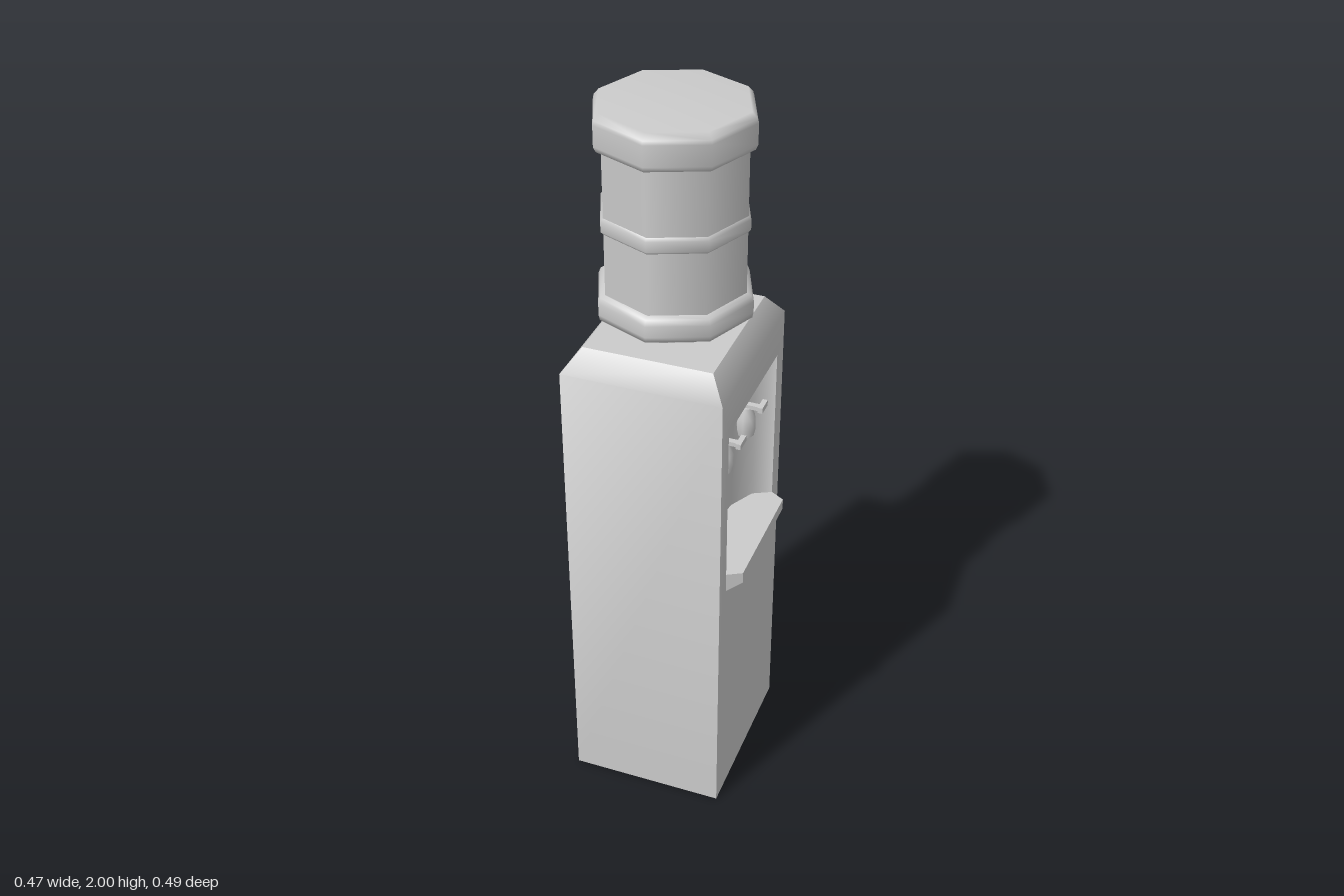
import * as THREE from 'three';
import { mergeGeometries, toCreasedNormals } from 'three/addons/utils/BufferGeometryUtils.js';

const grey = new THREE.MeshStandardMaterial({ color: 0xcccccc });
const thin = new THREE.MeshStandardMaterial({ color: 0xcccccc, side: THREE.DoubleSide });

const FRONT = 0.193;                                   // x of the dispensing face
const NICHE = { half: 0.192, depth: 0.1, y0: 0.735, y1: 1.238, shelf: 0.79 };

function add(parent, name, geometry, material = grey) {
  const mesh = new THREE.Mesh(geometry, material);
  mesh.name = name;
  parent.add(mesh);
  return mesh;
}

// Four-sided shell around a box with a chamfered top; the +x wall has the niche opening
function cabinetGeometry() {
  const ring = (x0, x1, z0, z1, y) => [[x0, y, z1], [x1, y, z1], [x1, y, z0], [x0, y, z0]];
  const rings = [
    ring(-0.234, FRONT, -0.244, 0.242, 0),
    ring(-0.234, FRONT, -0.244, 0.242, 1.345),
    ring(-0.191, 0.151, -0.198, 0.194, 1.405),
  ];
  const pos = [];
  const quad = (a, b, c, d) => pos.push(...a, ...b, ...c, ...a, ...c, ...d);
  for (let r = 0; r < 2; r++) {
    for (let i = 0; i < 4; i++) {
      if (r === 0 && i === 1) continue;
      const j = (i + 1) % 4;
      quad(rings[r][i], rings[r][j], rings[r + 1][j], rings[r + 1][i]);
    }
  }
  quad(...rings[2]);
  quad(...[...rings[0]].reverse());
  const shell = new THREE.BufferGeometry();
  shell.setAttribute('position', new THREE.Float32BufferAttribute(pos, 3));

  const rect = (u0, u1, v0, v1) => [[u0, v0], [u1, v0], [u1, v1], [u0, v1]].map(p => new THREE.Vector2(...p));
  const shape = new THREE.Shape(rect(-0.242, 0.244, 0, 1.345));
  shape.holes.push(new THREE.Path(rect(-NICHE.half, NICHE.half, NICHE.y0, NICHE.y1).reverse()));
  const face = new THREE.ShapeGeometry(shape).toNonIndexed();
  face.rotateY(Math.PI / 2).translate(FRONT, 0, 0);
  face.deleteAttribute('uv');
  face.deleteAttribute('normal');
  return toCreasedNormals(mergeGeometries([shell, face]), 0.8);
}

// Shelf filling the niche floor, with a tapered lip whose underside slopes back to the cabinet
function trayGeometry() {
  const pts = [new THREE.Vector2(0.232, -0.17), new THREE.Vector2(0.232, 0.17)];
  for (let i = 0; i <= 6; i++) {
    const t = (i / 6) * Math.PI;
    pts.push(new THREE.Vector2(FRONT - NICHE.depth * Math.sin(t), NICHE.half * Math.cos(t)));
  }
  const g = new THREE.ExtrudeGeometry(new THREE.Shape(pts), { depth: NICHE.shelf - NICHE.y0, bevelEnabled: false });
  g.rotateX(-Math.PI / 2).translate(0, NICHE.y0, 0);
  const p = g.attributes.position;
  for (let i = 0; i < p.count; i++) {
    if (p.getX(i) > 0.22 && p.getY(i) < 0.75) p.setY(i, 0.758);
  }
  g.computeVertexNormals();
  return g;
}

function createTap(z) {
  const tap = new THREE.Group();
  tap.name = z > 0 ? 'leftTap' : 'rightTap';
  const profile = [[0, 1.055], [0.014, 1.055], [0.016, 1.045], [0.022, 1.045], [0.026, 1.065], [0.026, 1.1], [0.016, 1.132], [0, 1.132]];
  add(tap, 'spout', toCreasedNormals(
    new THREE.LatheGeometry(profile.map(p => new THREE.Vector2(...p)), 8), 0.9));
  const pipe = add(tap, 'pipe', new THREE.CylinderGeometry(0.011, 0.011, 0.06, 8));
  pipe.rotation.z = Math.PI / 2;
  pipe.position.set(-0.035, 1.1, 0);
  const arm = add(tap, 'leverArm', new THREE.BoxGeometry(0.05, 0.012, 0.016));
  arm.position.set(0.02, 1.136, 0);
  const paddle = add(tap, 'leverPaddle', new THREE.BoxGeometry(0.014, 0.016, 0.044));
  paddle.position.set(0.044, 1.142, 0);
  tap.position.set(0.146, 0, z);
  return tap;
}

// Eight-sided bottle, each band a separate smooth lathe so that the seams stay crisp
function createBottle() {
  const bottle = new THREE.Group();
  bottle.name = 'bottle';
  const bands = {
    neck: [[0.11, 1.4], [0.11, 1.428], [0.14, 1.442]],
    lowerBand: [[0.11, 1.438], [0.15, 1.442], [0.203, 1.46], [0.206, 1.475], [0.206, 1.505], [0.2, 1.52], [0.187, 1.526]],
    lowerWall: [[0.187, 1.526], [0.187, 1.695]],
    middleBead: [[0.187, 1.692], [0.194, 1.7], [0.194, 1.727], [0.187, 1.735]],
    upperWall: [[0.187, 1.735], [0.187, 1.905]],
    upperBand: [[0.187, 1.902], [0.2, 1.908], [0.206, 1.922], [0.206, 1.975], [0.203, 1.985], [0.19, 2], [0, 2]],
  };
  for (const [name, pts] of Object.entries(bands)) {
    add(bottle, name, new THREE.LatheGeometry(pts.map(p => new THREE.Vector2(...p)), 8));
  }
  bottle.position.x = -0.02;
  return bottle;
}

export function createModel() {
  const model = new THREE.Group();
  model.name = 'waterCooler';
  add(model, 'cabinet', cabinetGeometry());

  // Curved niche wall and ceiling
  const h = NICHE.y1 - NICHE.y0;
  const wall = new THREE.CylinderGeometry(1, 1, h, 6, 1, true, Math.PI, Math.PI);
  wall.scale(NICHE.depth, 1, NICHE.half).translate(FRONT, NICHE.y0 + h / 2, 0);
  add(model, 'nicheWall', wall, thin);
  const ceiling = new THREE.CircleGeometry(1, 6, Math.PI / 2, Math.PI);
  ceiling.rotateX(Math.PI / 2).scale(NICHE.depth, 1, NICHE.half).translate(FRONT, NICHE.y1, 0);
  add(model, 'nicheCeiling', ceiling, thin);

  add(model, 'dripTray', trayGeometry());
  for (const side of [-1, 1]) model.add(createTap(side * 0.087));
  model.add(createBottle());
  return model;
}
